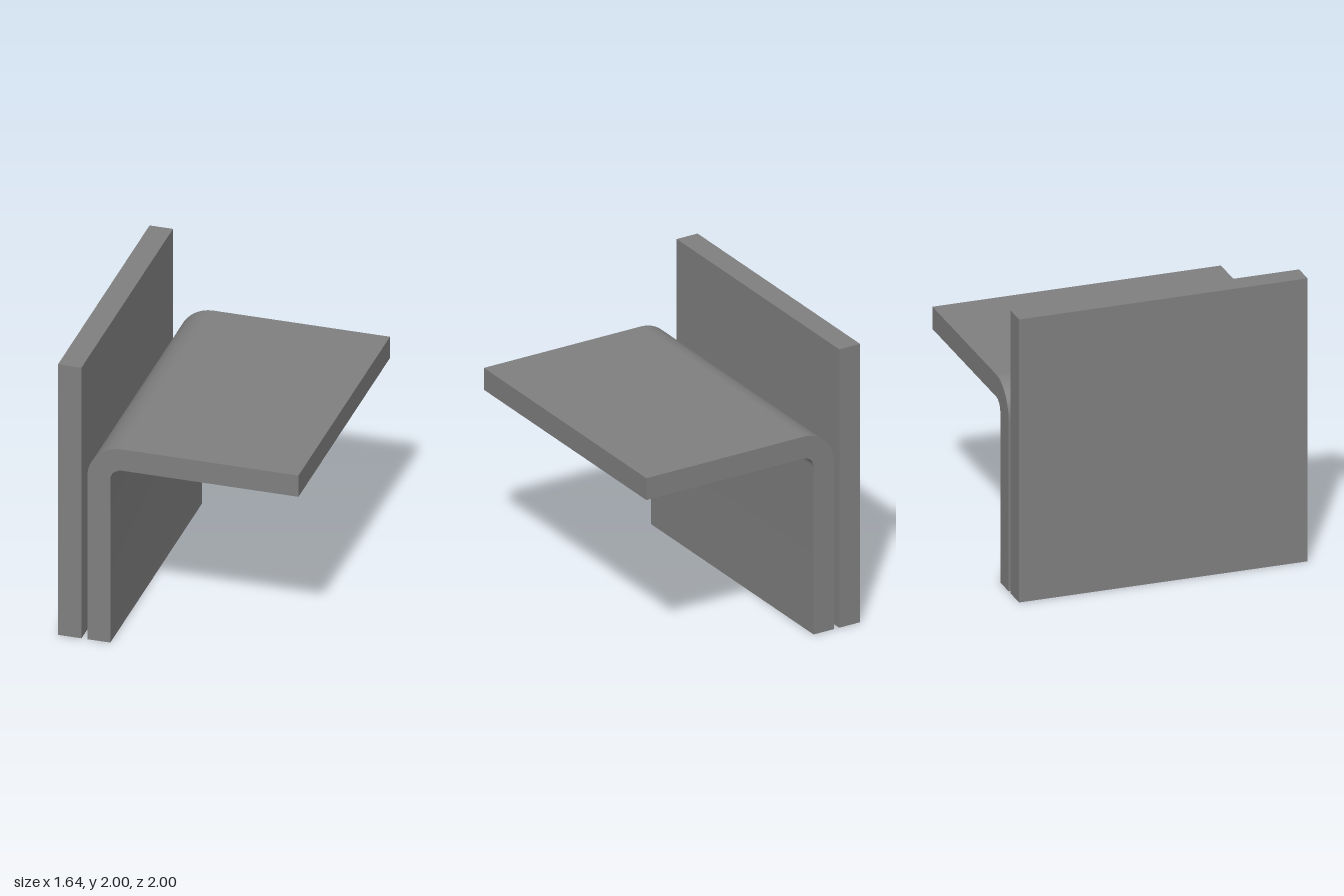
import * as THREE from 'three';
import { toCreasedNormals } from 'three/addons/utils/BufferGeometryUtils.js';

export function createModel() {
  const group = new THREE.Group();
  const steel = new THREE.MeshStandardMaterial({ color: 0x808080 });
  steel.name = 'steel grey';

  const depth = 2, t = 0.157;          // plate depth and thickness
  const left = -0.62, right = 0.82;    // bracket extents
  const top = 1.44, inner = 0.08, outer = inner + t;

  // Flat upright plate
  const plate = new THREE.Mesh(new THREE.BoxGeometry(0.16, 2, depth), steel);
  plate.name = 'uprightPlate';
  plate.position.set(-0.74, 1, 0);
  group.add(plate);

  // Bent bracket: L profile with concentric inner and outer bends
  const cx = left + outer, cy = top - outer;
  const profile = new THREE.Shape();
  profile.moveTo(left, 0);
  profile.lineTo(left + t, 0);
  profile.lineTo(left + t, cy);
  profile.absarc(cx, cy, inner, Math.PI, Math.PI / 2, true);
  profile.lineTo(right, top - t);
  profile.lineTo(right, top);
  profile.lineTo(cx, top);
  profile.absarc(cx, cy, outer, Math.PI / 2, Math.PI, false);
  profile.closePath();

  const bent = new THREE.ExtrudeGeometry(profile, { depth, bevelEnabled: false, curveSegments: 16 });
  bent.translate(0, 0, -depth / 2);
  const bracket = new THREE.Mesh(toCreasedNormals(bent, Math.PI / 6), steel);
  bracket.name = 'bentBracket';
  group.add(bracket);

  return group;
}
